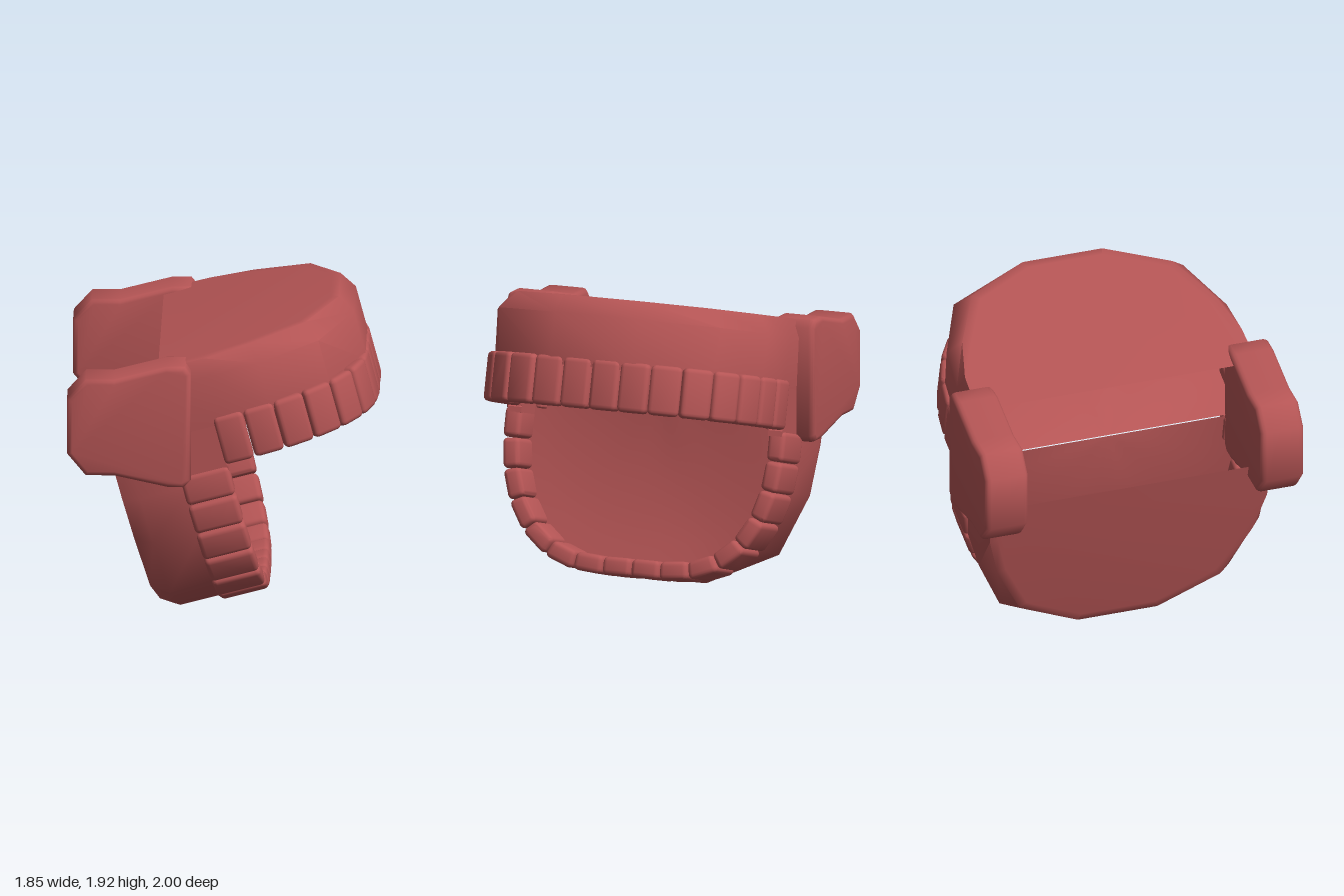
import * as THREE from 'three';
import { toCreasedNormals } from 'three/addons/utils/BufferGeometryUtils.js';
import { RoundedBoxGeometry } from 'three/addons/geometries/RoundedBoxGeometry.js';

const material = new THREE.MeshStandardMaterial({ color: 0xb55555, side: THREE.DoubleSide });

function addMesh(parent, name, geometry) {
  const mesh = new THREE.Mesh(geometry, material);
  mesh.name = name;
  parent.add(mesh);
  return mesh;
}

// Half outline as [z, x] from front to back -> full open loop, +z back to -z back.
function mirrorLoop(half) {
  const left = half.map(([z, x]) => [z, x]).reverse();
  return left.concat(half.filter(([z]) => z > 0).map(([z, x]) => [-z, x]));
}

// Skin through open rings of [x, y, z] points, with a fan over the last ring.
function loft(rings, crease) {
  const pos = [];
  const tri = (a, b, c) => pos.push(...a, ...b, ...c);
  for (let r = 0; r < rings.length - 1; r++) {
    const lo = rings[r], hi = rings[r + 1];
    for (let i = 0; i < lo.length - 1; i++) {
      tri(lo[i], lo[i + 1], hi[i]);
      tri(lo[i + 1], hi[i + 1], hi[i]);
    }
  }
  const top = rings[rings.length - 1];
  for (let i = 1; i < top.length - 1; i++) tri(top[0], top[i], top[i + 1]);
  const geometry = new THREE.BufferGeometry();
  geometry.setAttribute('position', new THREE.Float32BufferAttribute(pos, 3));
  return toCreasedNormals(geometry, crease);
}

// Jaw frame: x forward (0 at the front), y from tooth tips (0) to the outer plate (0.67).
const gumSections = [
  [0.25, [[0.27, -0.01], [0.69, -0.225], [0.865, -0.59], [0.89, -0.88], [0.89, -1.18]]],
  [0.56, [[0.27, -0.01], [0.72, -0.22], [0.88, -0.59], [0.905, -0.88], [0.905, -1.18]]],
  [0.668, [[0.25, -0.075], [0.63, -0.27], [0.8, -0.62], [0.87, -0.9], [0.88, -1.18]]],
  [0.672, [[0.23, -0.125], [0.59, -0.31], [0.75, -0.64], [0.82, -0.91], [0.83, -1.18]]],
];

// arch along which the teeth stand
const arch = new THREE.CatmullRomCurve3(mirrorLoop([
  [0, -0.05], [0.28, -0.055], [0.46, -0.09], [0.635, -0.2],
  [0.755, -0.36], [0.825, -0.55], [0.853, -0.75], [0.855, -0.945],
]).map(([z, x]) => new THREE.Vector3(x, 0, z)));
const toothCount = 16;

// Rounded block bent along the arch.
function toothGeometry(index) {
  const length = arch.getLength();
  const geometry = new RoundedBoxGeometry(length / toothCount - 0.004, 0.3, 0.11, 2, 0.03);
  const p = geometry.attributes.position;
  for (let i = 0; i < p.count; i++) {
    const t = (index + 0.5) / toothCount + p.getX(i) / length;
    const at = arch.getPointAt(t), along = arch.getTangentAt(t), out = p.getZ(i);
    p.setXYZ(i, at.x - along.z * out, p.getY(i) + 0.15, at.z + along.x * out);
  }
  return toCreasedNormals(geometry, 0.8);
}

// Inner plate, gently hollowed, with a straight back edge at the jaw joint.
function palateGeometry() {
  const back = -1.14;
  const edge = arch.getSpacedPoints(32).map((p) => [p.x, p.z]);
  edge.unshift([back, 0.855]);
  edge.push([back, -0.855]);
  const rings = [1, 0.85, 0.7, 0.5, 0.3, 0.1, 0.01].map((k) => edge.map(([x, z]) => {
    const forward = (x - back) / Math.hypot(x - back, z);
    return [back + (x - back) * k, 0.205 + 0.24 * k * (1 - k) * forward, z * k];
  }));
  return loft(rings, 1);
}

function createJaw(name) {
  const jaw = new THREE.Group();
  jaw.name = name;
  const gumRings = gumSections.map(([y, half]) => mirrorLoop(half).map(([z, x]) => [x, y, z]));
  addMesh(jaw, 'gumShell', loft(gumRings, 0.95));
  for (let i = 0; i < toothCount; i++) addMesh(jaw, 'tooth', toothGeometry(i));
  addMesh(jaw, 'palate', palateGeometry());

  // mitred cheeks behind the last teeth
  const cheekShape = new THREE.Shape([[-0.91, 0], [-0.91, 0.27], [-1.21, 0.27], [-0.945, 0]]
    .map(([x, y]) => new THREE.Vector2(x, y)));
  const cheek = new THREE.ExtrudeGeometry(cheekShape, { depth: 0.09, bevelEnabled: false });
  for (const z of [0.8, -0.89]) addMesh(jaw, 'cheek', cheek).position.z = z;
  return jaw;
}

function hingeGeometry() {
  const points = [
    [-0.9, 1.145], [-0.805, 1.03], [-0.645, 1.03], [-0.325, 0.96], [-0.245, 0.96], [-0.22, 0.985],
    [-0.22, 1.625], [-0.24, 1.65], [-0.335, 1.65], [-0.645, 1.57], [-0.805, 1.57], [-0.9, 1.465],
  ];
  const shape = new THREE.Shape(points.map(([x, y]) => new THREE.Vector2(x, y)));
  const geometry = new THREE.ExtrudeGeometry(shape, {
    depth: 0.2, bevelSize: 0.03, bevelThickness: 0.035, bevelSegments: 3,
  });
  geometry.translate(0, 0, -0.1);
  return toCreasedNormals(geometry, 0.9);
}

export function createModel() {
  const model = new THREE.Group();
  model.name = 'toothedJaws';

  const upper = createJaw('upperJaw');
  upper.rotation.z = THREE.MathUtils.degToRad(15);
  upper.position.set(0.925, 1.29, 0);
  model.add(upper);

  // same jaw flipped over and swung open
  const lower = createJaw('lowerJaw');
  lower.rotation.set(Math.PI, 0, THREE.MathUtils.degToRad(-75), 'ZYX');
  lower.position.set(0.275, 0.13, 0);
  model.add(lower);

  // side hinge blocks and the small tabs inside the joint
  const hinge = hingeGeometry();
  const tab = new RoundedBoxGeometry(0.1, 0.18, 0.04, 2, 0.012);
  for (const side of [1, -1]) {
    const block = addMesh(model, side > 0 ? 'leftHinge' : 'rightHinge', hinge);
    block.position.z = side * 0.865;
    const inner = addMesh(model, 'hingeTab', tab);
    inner.position.set(-0.17, 1.09, side * 0.745);
    inner.rotation.z = THREE.MathUtils.degToRad(15);
  }
  return model;
}
